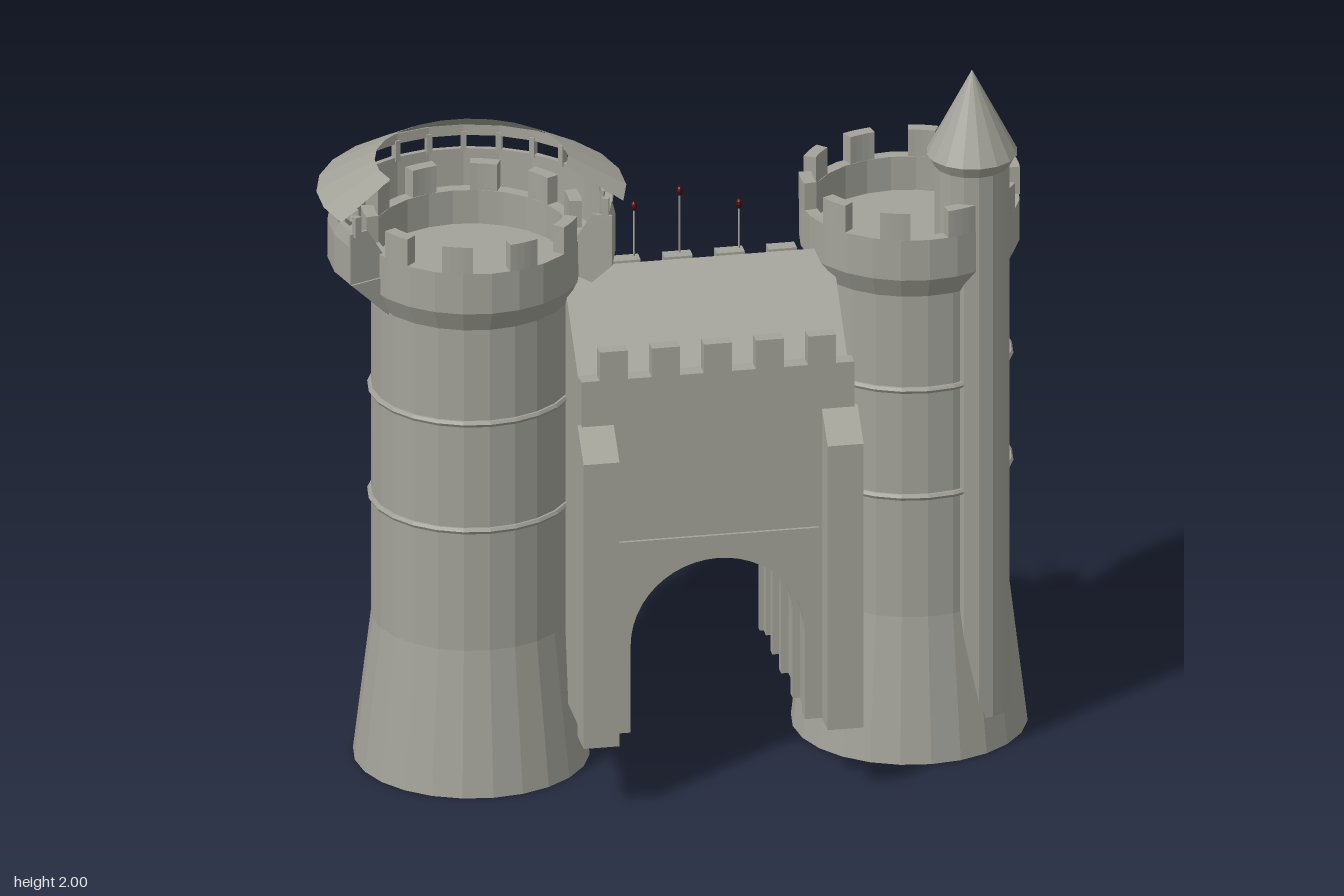
import * as THREE from 'three';

const D = Math.PI / 180;
const stone = new THREE.MeshStandardMaterial({ color: 0xa3a39a, flatShading: true, side: THREE.DoubleSide });
stone.name = 'grey stone';
const darkRed = new THREE.MeshStandardMaterial({ color: 0x450a0d, flatShading: true, side: THREE.DoubleSide });
darkRed.name = 'dark red';

export function createModel() {
  const model = new THREE.Group();
  model.name = 'castleGate';

  const add = (parent, name, geo, x = 0, y = 0, z = 0, mat = stone) => {
    const m = new THREE.Mesh(geo, mat);
    m.name = name;
    m.position.set(x, y, z);
    parent.add(m);
    return m;
  };
  // box given by its lower and upper limits
  const block = (parent, name, x0, x1, y0, y1, z0, z1, mat) =>
    add(parent, name, new THREE.BoxGeometry(x1 - x0, y1 - y0, z1 - z0),
      (x0 + x1) / 2, (y0 + y1) / 2, (z0 + z1) / 2, mat);
  const group = (name, x = 0, y = 0, z = 0) => {
    const g = new THREE.Group();
    g.name = name;
    g.position.set(x, y, z);
    model.add(g);
    return g;
  };
  const lathe = (pts, segs = 24, start = 0, len = Math.PI * 2) =>
    new THREE.LatheGeometry(pts.map(p => new THREE.Vector2(...p)), segs, start, len);
  const polygon = pts => new THREE.Shape(pts.map(p => new THREE.Vector2(...p)));
  const extrude = (shape, depth, curveSegments = 12) =>
    new THREE.ExtrudeGeometry(shape, { depth, bevelEnabled: false, curveSegments });
  // (z, y) profile swept from x0 to x1
  const sweepX = (pts, x0, x1) => extrude(polygon(pts), x1 - x0).rotateY(-Math.PI / 2).translate(x1, 0, 0);
  // ring sector block, angle measured from +z towards +x
  const sector = (r0, r1, mid, width, y0, y1) => {
    const s = new THREE.Shape();
    const a = Math.PI / 2 - mid;
    s.absarc(0, 0, r1, a - width / 2, a + width / 2, false);
    s.absarc(0, 0, r0, a + width / 2, a - width / 2, true);
    return extrude(s, y1 - y0, 2).rotateX(Math.PI / 2).translate(0, y1, 0);
  };

  // ---- main towers ----
  const makeTower = (name, x) => {
    const t = group(name, x, 0, -0.03);
    add(t, 'towerWall', lathe([[0.325, 0], [0.275, 0.42], [0.275, 1.38], [0.303, 1.44],
      [0.303, 1.56], [0.268, 1.56], [0.268, 1.46], [0, 1.46]]));
    for (const y of [0.78, 1.1])
      add(t, 'stringCourse', new THREE.TorusGeometry(0.276, 0.01, 6, 24).rotateX(Math.PI / 2), 0, y, 0);
    for (let i = 0; i < 10; i++)
      add(t, 'merlon', sector(0.268, 0.303, (18 + 36 * i) * D, 16 * D, 1.56, 1.64));
    return t;
  };
  const rightTower = makeTower('turretTower', 0.655);
  const leftTower = makeTower('galleryTower', -0.565);

  // ---- slim stair turret ----
  add(rightTower, 'stairTurret', lathe([[0, 0.1], [0.104, 0.1], [0.104, 1.72], [0.122, 1.755]], 16), 0.143, 0, 0.167);
  add(rightTower, 'turretRoof', lathe([[0.1, 1.755], [0.126, 1.755], [0, 2]], 16), 0.143, 0, 0.167);

  // ---- roofed gallery wrapped round the back of one tower ----
  const a0 = 67.5 * D, arc = 225 * D;
  add(leftTower, 'galleryRoof', lathe([[0.425, 1.685], [0.265, 1.775]], 15, a0, arc));
  add(leftTower, 'galleryWall', lathe([[0.28, 1.49], [0.395, 1.49], [0.395, 1.6], [0.385, 1.64],
    [0.37, 1.64], [0.37, 1.5], [0.28, 1.5]], 15, a0, arc));
  add(leftTower, 'galleryLintel', lathe([[0.37, 1.68], [0.395, 1.68], [0.395, 1.7], [0.37, 1.71], [0.37, 1.68]], 15, a0, arc));
  for (let i = 0; i <= 15; i++) {
    const a = a0 + 15 * D * i;
    add(leftTower, 'galleryPost', sector(0.365, 0.385, a, 2.5 * D, 1.63, 1.69));
    const bracket = extrude(polygon([[0.27, 1.37], [0.395, 1.49], [0.27, 1.49]]), 0.012).translate(0, 0, -0.006);
    add(leftTower, 'galleryBracket', bracket).rotation.y = a - Math.PI / 2;
  }
  for (const s of [-1, 1]) {
    const end = extrude(polygon([[0.29, 1.49], [0.395, 1.49], [0.395, 1.64], [0.34, 1.64], [0.29, 1.56]]), 0.008);
    add(leftTower, 'galleryEnd', end).rotation.y = s * a0 - Math.PI / 2;
  }

  // ---- gatehouse ----
  const gate = group('gatehouse', 0.045, 0, 0);
  const W = 0.38;
  // arch outline of half width h, open at the bottom
  const archWall = (w, top, h) => {
    const s = new THREE.Shape();
    s.moveTo(-w, 0.2);
    s.lineTo(-h, 0.2);
    s.lineTo(-h, 0.46);
    s.absarc(0, 0.46, h, Math.PI, 0, true);
    s.lineTo(h, 0.2);
    s.lineTo(w, 0.2);
    s.lineTo(w, top);
    s.lineTo(-w, top);
    return s;
  };
  const archBand = (outer, inner) => {
    const s = new THREE.Shape();
    s.moveTo(-outer, 0.2);
    s.lineTo(-inner, 0.2);
    s.lineTo(-inner, 0.46);
    s.absarc(0, 0.46, inner, Math.PI, 0, true);
    s.lineTo(inner, 0.2);
    s.lineTo(outer, 0.2);
    s.lineTo(outer, 0.46);
    s.absarc(0, 0.46, outer, 0, Math.PI, false);
    return s;
  };
  add(gate, 'passage', extrude(archWall(W - 0.005, 1.17, 0.256), 0.53), 0, 0, -0.2);
  add(gate, 'frontWall', extrude(archWall(W, 1.26, 0.243), 0.045), 0, 0, 0.33);
  add(gate, 'rearWall', extrude(archWall(W, 1.27, 0.243), 0.04), 0, 0, -0.24);
  add(gate, 'gableRoof', sweepX([[-0.2, 1.16], [0.33, 1.16], [0.33, 1.21], [0.07, 1.47], [-0.2, 1.21]], -W + 0.005, W - 0.005));
  for (const z of [0.2, 0.03, -0.1])
    add(gate, 'passageRib', extrude(archBand(0.26, 0.236), 0.03), 0, 0, z);
  add(gate, 'rearArchMoulding', extrude(archBand(0.285, 0.262), 0.015), 0, 0, -0.253);
  add(gate, 'rearArchEdge', extrude(archBand(0.25, 0.232), 0.015), 0, 0, -0.25);
  for (let i = -2; i <= 2; i++) {
    const x = i * 0.145;
    block(gate, 'frontMerlon', x - 0.039, x + 0.039, 1.26, 1.345, 0.335, 0.375);
    block(gate, 'rearMerlon', x - 0.039, x + 0.039, 1.27, 1.355, -0.24, -0.2);
  }
  block(gate, 'frontLedge', -0.28, 0.28, 0.762, 0.775, 0.37, 0.384);
  block(gate, 'rearLedge', -W, W, 0.77, 0.787, -0.25, -0.23);

  // sloping buttresses either side of the front
  for (const s of [-1, 1])
    add(gate, 'buttress', sweepX([[0.37, 0.2], [0.46, 0.2], [0.46, 1.05], [0.37, 1.13]], -0.05, 0.05), s * 0.34, 0, 0);

  // row of corbels below the rear battlements, and two jutting pegs
  block(gate, 'corbelCourse', -W, W, 1.185, 1.2, -0.255, -0.235);
  for (let i = -9; i <= 9; i++)
    block(gate, 'corbel', i * 0.039 - 0.009, i * 0.039 + 0.009, 1.15, 1.185, -0.254, -0.235);
  for (const s of [-1, 1])
    block(gate, 'peg', s * 0.29 - 0.006, s * 0.29 + 0.006, 1.16, 1.172, -0.305, -0.235);

  // portcullis with pointed bars
  for (let i = -5; i <= 5; i++) {
    const x = i * 0.042;
    const top = 0.46 + Math.sqrt(0.25 ** 2 - x * x);
    block(gate, 'portcullisBar', x - 0.006, x + 0.006, 0.58, Math.max(top, 0.59), -0.056, -0.044);
    add(gate, 'portcullisSpike', new THREE.ConeGeometry(0.009, 0.03, 4).rotateX(Math.PI), x, 0.567, -0.05);
  }
  for (const y of [0.61, 0.65, 0.69]) {
    const h = Math.sqrt(0.25 ** 2 - (y - 0.46) ** 2);
    block(gate, 'portcullisCrossbar', -h, h, y - 0.005, y + 0.005, -0.055, -0.045);
  }

  // swallow-tailed banners
  for (const s of [-1, 1]) {
    const banner = extrude(polygon([[-0.03, 1.12], [-0.03, 0.81], [0, 0.835], [0.03, 0.81], [0.03, 1.12]]), 0.006);
    add(gate, 'banner', banner, s * 0.118, 0, -0.251, darkRed);
    block(gate, 'bannerRod', s * 0.118 - 0.036, s * 0.118 + 0.036, 1.117, 1.127, -0.257, -0.24);
  }
  // statue on a bracket with a small cross below
  add(gate, 'statueBracket', new THREE.CylinderGeometry(0.035, 0.012, 0.035, 8), 0, 0.925, -0.245);
  add(gate, 'statueBody', lathe([[0.026, 0.94], [0.018, 1.0], [0.024, 1.05], [0.008, 1.075]], 8), 0, 0, -0.25);
  add(gate, 'statueHead', new THREE.SphereGeometry(0.014, 8, 6), 0, 1.087, -0.25);
  add(gate, 'statueCanopy', new THREE.ConeGeometry(0.042, 0.03, 8), 0, 1.127, -0.245);
  block(gate, 'crossUpright', -0.005, 0.005, 0.83, 0.885, -0.248, -0.24, darkRed);
  block(gate, 'crossArm', -0.02, 0.02, 0.857, 0.867, -0.248, -0.24, darkRed);

  // spikes with dark knobs along the rear battlements
  for (const [x, y] of [[-0.12, 1.505], [0.007, 1.54], [0.173, 1.488]]) {
    add(gate, 'spike', new THREE.CylinderGeometry(0.003, 0.003, y - 1.25, 5), x, (y + 1.25) / 2, -0.228);
    add(gate, 'spikeKnob', new THREE.SphereGeometry(0.012, 8, 6).scale(0.8, 1.25, 1), x, y, -0.228, darkRed);
  }

  // ---- lean-to booth behind the turret tower ----
  const booth = group('booth', 0.54, 0, 0);
  add(booth, 'boothRoof', sweepX([[-0.29, 0.445], [-0.29, 0.432], [-0.447, 0.372], [-0.447, 0.385]], -0.1, 0.1));
  add(booth, 'boothSide', sweepX([[-0.28, 0.2], [-0.28, 0.43], [-0.425, 0.378], [-0.425, 0.2]], 0.068, 0.08));
  block(booth, 'boothPost', -0.08, -0.066, 0.2, 0.385, -0.425, -0.411);
  block(booth, 'boothCounter', -0.08, 0.08, 0.255, 0.27, -0.425, -0.29);
  block(booth, 'boothLeg', -0.012, 0.012, 0.2, 0.255, -0.415, -0.395);

  return model;
}
